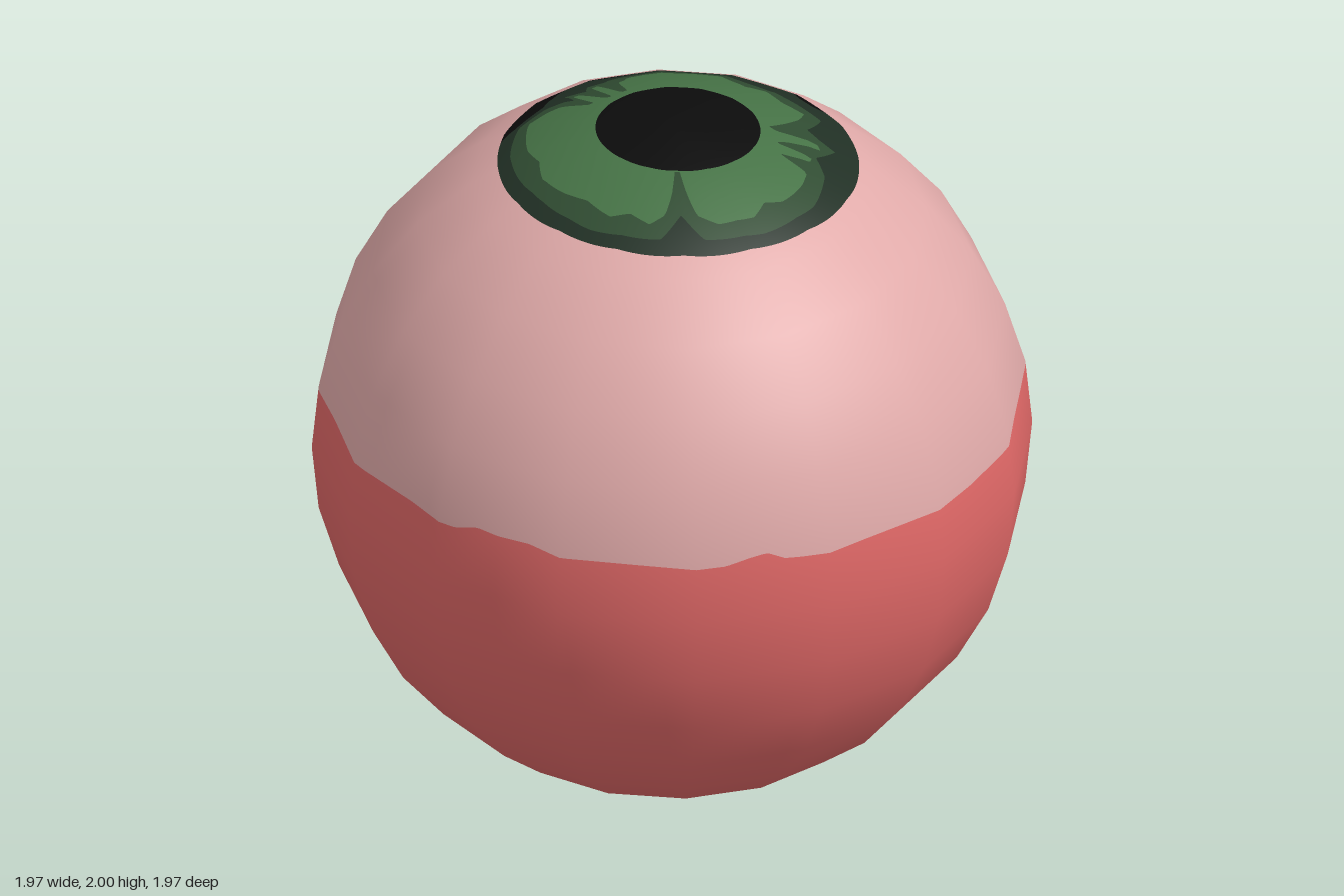
import * as THREE from 'three';

const SIDES = 16, RINGS = 16, STEP = Math.PI / RINGS;
const RADIUS = 0.985, COLUMNS = 384;
const IRIS_X = 0.018, IRIS_Z = -0.018;

const mat = (name, color) => {
  const m = new THREE.MeshStandardMaterial({ color });
  m.name = name;
  return m;
};

// Linear lookup in a closed table of [degrees, value]; degrees run from +x towards +z
function lookup(table, deg) {
  const d = ((deg % 360) + 360) % 360;
  for (let i = 0; i < table.length; i++) {
    const [a0, v0] = table[i];
    const [a1, v1] = i + 1 < table.length ? table[i + 1] : [table[0][0] + 360, table[0][1]];
    if (d >= a0 && d <= a1) return v0 + (v1 - v0) * (d - a0) / (a1 - a0);
  }
  return table[0][1];
}

// How far the 16-sided outline reaches at an azimuth, relative to its corners
function sideFactor(a) {
  const w = 2 * Math.PI / SIDES;
  const m = ((a % w) + w) % w;
  return Math.cos(w / 2) / Math.cos(m - w / 2);
}

// Point on the faceted ball at azimuth a and polar angle u
function ballPoint(a, u) {
  const k = Math.min(RINGS - 1, Math.floor(u / STEP + 1e-9));
  const t = u / STEP - k;
  const mix = f => f(k * STEP) * (1 - t) + f((k + 1) * STEP) * t;
  const r = RADIUS * sideFactor(a) * mix(Math.sin);
  return [r * Math.cos(a), 1 + mix(Math.cos), r * Math.sin(a)];
}

// Band of the ball between two edge curves, cut along the facet rings
function band(name, material, top, bottom) {
  const pos = [], nor = [], idx = [];
  for (let c = 0; c <= COLUMNS; c++) {
    const a = c / COLUMNS * 2 * Math.PI;
    const u0 = top(a), u1 = Math.max(u0, bottom(a));
    for (let k = 0; k <= RINGS + 2; k++) {
      const u = k === 0 ? u0 : k === RINGS + 2 ? u1 : THREE.MathUtils.clamp((k - 1) * STEP, u0, u1);
      pos.push(...ballPoint(a, u));
      nor.push(Math.sin(u) * Math.cos(a), Math.cos(u), Math.sin(u) * Math.sin(a));
    }
  }
  const rows = RINGS + 3;
  const near = (i, j) => [0, 1, 2].every(n => Math.abs(pos[i * 3 + n] - pos[j * 3 + n]) < 1e-7);
  const tri = (i, j, k) => {
    if (!near(i, j) && !near(j, k) && !near(k, i)) idx.push(i, j, k);
  };
  for (let c = 0; c < COLUMNS; c++) {
    for (let k = 0; k < rows - 1; k++) {
      const p = c * rows + k, q = p + rows;
      tri(p, q, p + 1);
      tri(q, q + 1, p + 1);
    }
  }
  const g = new THREE.BufferGeometry();
  g.setAttribute('position', new THREE.Float32BufferAttribute(pos, 3));
  g.setAttribute('normal', new THREE.Float32BufferAttribute(nor, 3));
  g.setIndex(idx);
  const mesh = new THREE.Mesh(g, material);
  mesh.name = name;
  return mesh;
}

// Edge curve given as a radius around the slightly offset iris centre
const irisEdge = radiusAt => a => {
  const r = radiusAt(a * 180 / Math.PI) + IRIS_X * Math.cos(a) + IRIS_Z * Math.sin(a);
  return Math.asin(r / (RADIUS * sideFactor(a)));
};

// Outer limit of the bright iris, with notches for the dark spokes
const BRIGHT = [
  [0, .38], [3, .39], [5, .29], [8, .27], [11, .37], [14, .37], [17, .29], [20, .33], [23, .38],
  [30, .39], [45, .40], [52, .38], [60, .41], [75, .41], [83, .38], [86, .30], [88, .23], [92, .23],
  [94, .31], [97, .38], [103, .41], [112, .39], [120, .41], [133, .39], [145, .40], [160, .41],
  [172, .39], [182, .41], [195, .42], [206, .43], [213, .40], [218, .36], [221, .29], [224, .28],
  [227, .37], [230, .36], [232, .27], [236, .26], [238, .37], [241, .37], [243, .26], [247, .26],
  [249, .34], [253, .35], [257, .39], [264, .41], [272, .40], [282, .43], [291, .41], [298, .37],
  [307, .34], [314, .37], [325, .36], [335, .39], [342, .35], [348, .29], [352, .25], [356, .27],
];
// Outer limit of the middle green
const MIDDLE = [
  [0, .43], [9, .38], [18, .42], [35, .45], [60, .46], [82, .45], [90, .38], [98, .45], [125, .46],
  [150, .45], [185, .46], [205, .455], [218, .42], [224, .35], [228, .41], [234, .36], [240, .41],
  [246, .38], [255, .43], [270, .45], [285, .465], [300, .42], [312, .40], [325, .42], [338, .43],
  [349, .36], [355, .39],
];
// Inner limit of the black patches on the rim
const RIM = [
  [0, .495], [198, .495], [204, .47], [212, .455], [220, .44], [228, .455], [234, .48], [238, .495],
  [246, .495], [250, .475], [258, .475], [262, .495], [312, .495], [318, .475], [324, .475], [328, .495],
];
// Height of the ragged line between the pale and red halves
const LINE = [
  [0, 1.185], [8, 1.175], [15, 1.17], [25, 1.15], [35, 1.145], [45, 1.155], [60, 1.16], [72, 1.162],
  [75, 1.165], [78, 1.188], [81, 1.18], [85, 1.165], [100, 1.17], [112, 1.175], [118, 1.19],
  [124, 1.185], [128, 1.192], [132, 1.172], [142, 1.18], [155, 1.175], [170, 1.19], [185, 1.18],
  [200, 1.17], [212, 1.175], [225, 1.155], [240, 1.16], [255, 1.14], [270, 1.135], [290, 1.13],
  [305, 1.138], [318, 1.14], [328, 1.155], [338, 1.16], [344, 1.172], [352, 1.175],
];

export function createModel() {
  const black = mat('pupil black', 0x0c0c0c);
  const bright = mat('iris green', 0x467346);
  const middle = mat('iris deep green', 0x304c32);
  const dark = mat('iris darkest green', 0x213025);
  const pale = mat('pale pink', 0xe0aaa9);
  const red = mat('flesh red', 0xe06867);

  const pupilEdge = irisEdge(() => 0.225);
  const brightEdge = irisEdge(d => lookup(BRIGHT, d));
  const middleEdge = irisEdge(d => Math.max(lookup(MIDDLE, d), lookup(BRIGHT, d) + 0.012));
  const rimEdge = irisEdge(d => Math.max(lookup(RIM, d), lookup(MIDDLE, d), lookup(BRIGHT, d) + 0.012));
  const outerEdge = irisEdge(() => 0.495);
  const redLine = a => Math.acos(lookup(LINE, a * 180 / Math.PI) - 1);

  const eye = new THREE.Group();
  eye.name = 'eyeball';
  eye.add(
    band('pupil', black, () => 0, pupilEdge),
    band('irisInner', bright, pupilEdge, brightEdge),
    band('irisSpokes', middle, brightEdge, middleEdge),
    band('irisRing', dark, middleEdge, rimEdge),
    band('irisRimPatches', black, rimEdge, outerEdge),
    band('paleUpperBall', pale, outerEdge, redLine),
    band('redLowerBall', red, redLine, () => Math.PI),
  );
  return eye;
}
